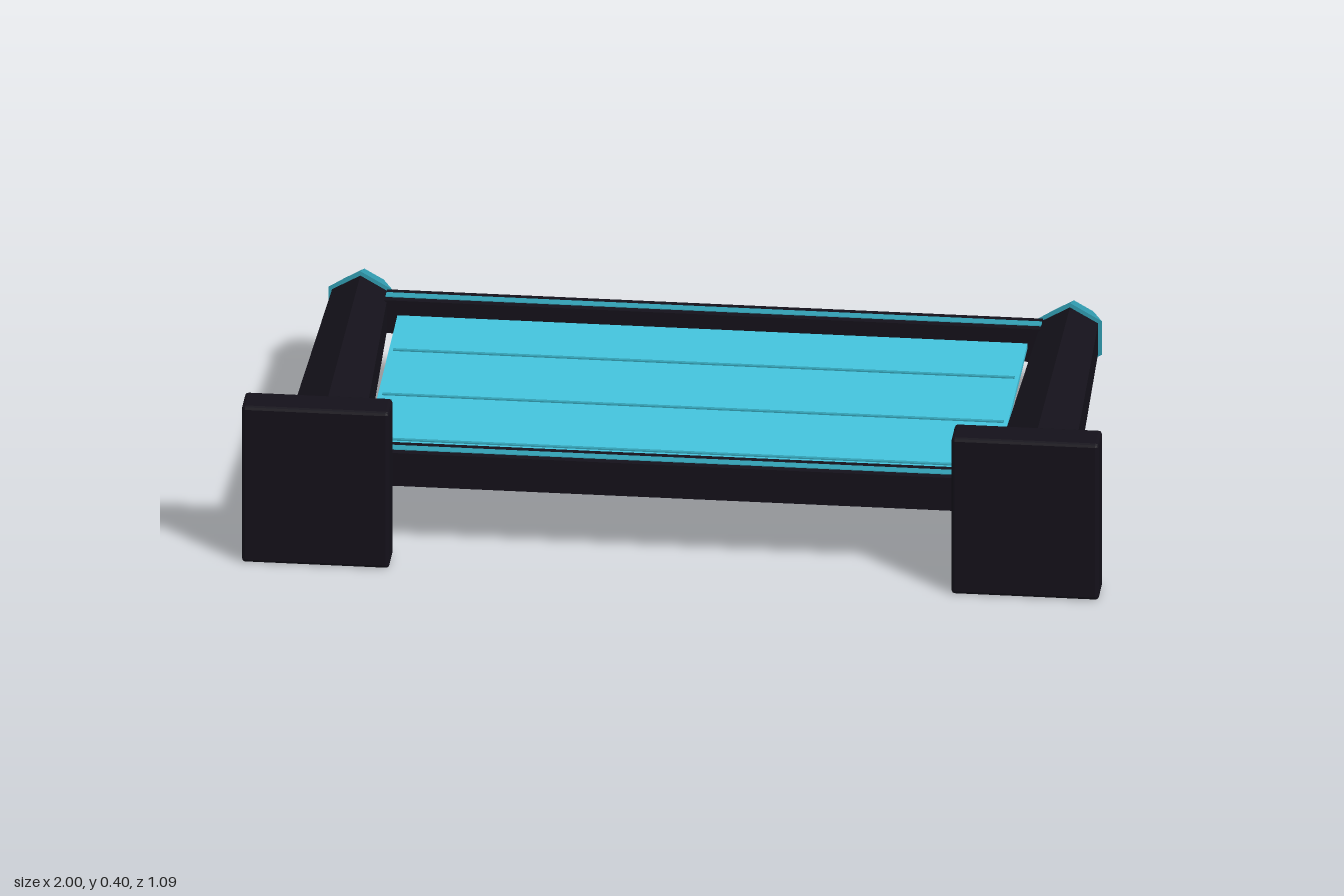
import * as THREE from 'three';
import { RoundedBoxGeometry } from 'three/addons/geometries/RoundedBoxGeometry.js';

const MID = 0.2;       // height of the common centre plane
const POST_X = 0.828;  // distance of each post from the centre

export function createModel() {
  const model = new THREE.Group();
  model.name = 'barrierFrame';
  const dark = new THREE.MeshStandardMaterial({ color: 0x14111a, flatShading: true });
  const teal = new THREE.MeshStandardMaterial({ color: 0x329fb3, flatShading: true });
  const bright = new THREE.MeshStandardMaterial({ color: 0x44c4de, flatShading: true });

  const add = (parent, name, geometry, material, x, y, z) => {
    const mesh = new THREE.Mesh(geometry, material);
    mesh.name = name;
    mesh.position.set(x, y, z);
    parent.add(mesh);
  };

  // Tapered hexagonal prism lying along z, with a corner pointing up
  const hexPrism = (frontRadius, backRadius, length) =>
    new THREE.CylinderGeometry(frontRadius, backRadius, length, 6).rotateX(Math.PI / 2);

  // Posts with a square-edged base plate and a faceted end cap
  for (const side of [-1, 1]) {
    const post = new THREE.Group();
    post.name = side > 0 ? 'leftPost' : 'rightPost';
    post.position.set(side * POST_X, MID, 0);
    add(post, 'basePlate', new RoundedBoxGeometry(0.344, 0.4, 0.085, 1, 0.008), dark, 0, 0, 0.5025);
    add(post, 'shaft', hexPrism(0.107, 0.076, 0.917), dark, 0, 0, 0.0035);
    add(post, 'endCap', hexPrism(0.086, 0.052, 0.088), teal, 0, 0, -0.501);
    model.add(post);
  }

  // Cross rails with an inlaid strip above and below
  const rails = [
    { name: 'frontRail', z: 0.4, length: 1.5 },
    { name: 'backRail', z: -0.425, length: 1.53 },
  ];
  for (const { name, z, length } of rails) {
    const rail = new THREE.Group();
    rail.name = name;
    rail.position.set(0, MID + 0.002, z);
    add(rail, 'beam', new THREE.BoxGeometry(length, 0.084, 0.06), dark, 0, 0, 0);
    for (const s of [-1, 1]) {
      add(rail, 'inlayStrip', new THREE.BoxGeometry(length, 0.004, 0.024), teal, 0, s * 0.0415, 0);
    }
    model.add(rail);
  }

  // Thin panel between the rails, with seams on both faces
  add(model, 'panel', new THREE.BoxGeometry(1.47, 0.014, 0.77), bright, 0, MID, -0.012);
  for (const z of [-0.205, 0.037, 0.28]) {
    add(model, 'panelSeam', new THREE.BoxGeometry(1.45, 0.02, 0.009), teal, 0, MID, z);
  }

  return model;
}
